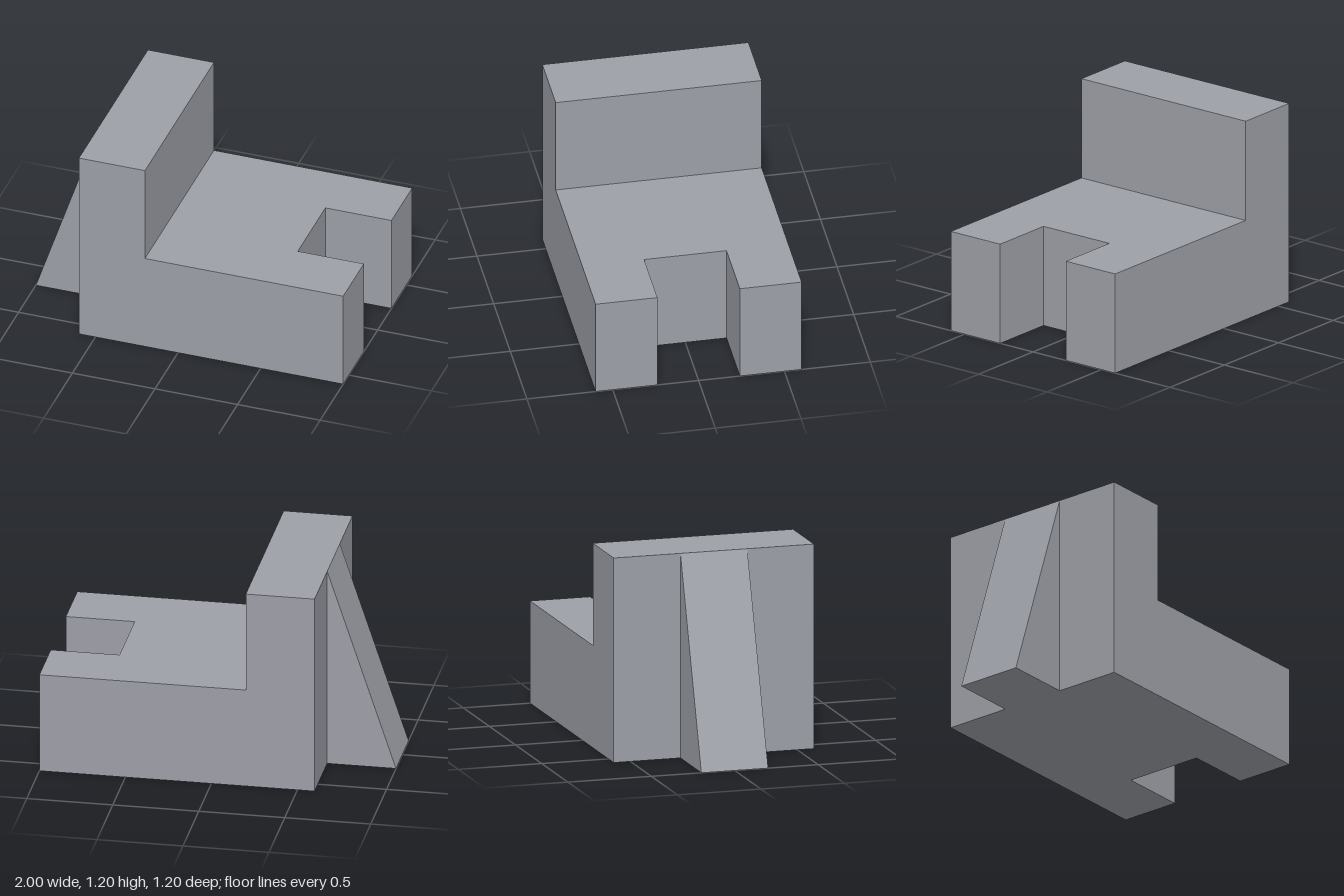
import * as THREE from 'three';

const material = new THREE.MeshStandardMaterial({ color: 0x9d9fa7, flatShading: true });

// Extrudes a closed outline of [x, y] points along +z
function extrude(name, points, depth) {
  const shape = new THREE.Shape(points.map(([x, y]) => new THREE.Vector2(x, y)));
  const geometry = new THREE.ExtrudeGeometry(shape, { depth, bevelEnabled: false });
  const mesh = new THREE.Mesh(geometry, material);
  mesh.name = name;
  return mesh;
}

export function createModel() {
  const group = new THREE.Group();
  group.name = 'slottedBracket';

  // Base block with an open slot in its end, drawn in plan and stood upright
  const base = extrude('slottedBase', [
    [-0.2, -0.6], [1, -0.6], [1, -0.24], [0.6, -0.24],
    [0.6, 0.24], [1, 0.24], [1, 0.6], [-0.2, 0.6],
  ], 0.6);
  base.geometry.rotateX(-Math.PI / 2);

  // Upright wall
  const wall = new THREE.Mesh(new THREE.BoxGeometry(0.4, 1.2, 1.2), material);
  wall.name = 'uprightWall';
  wall.position.set(-0.4, 0.6, 0);

  // Triangular rib bracing the wall
  const rib = extrude('supportRib', [[-1, 0], [-0.6, 0], [-0.6, 1.2]], 0.4);
  rib.position.z = -0.2;

  group.add(base, wall, rib);
  return group;
}
